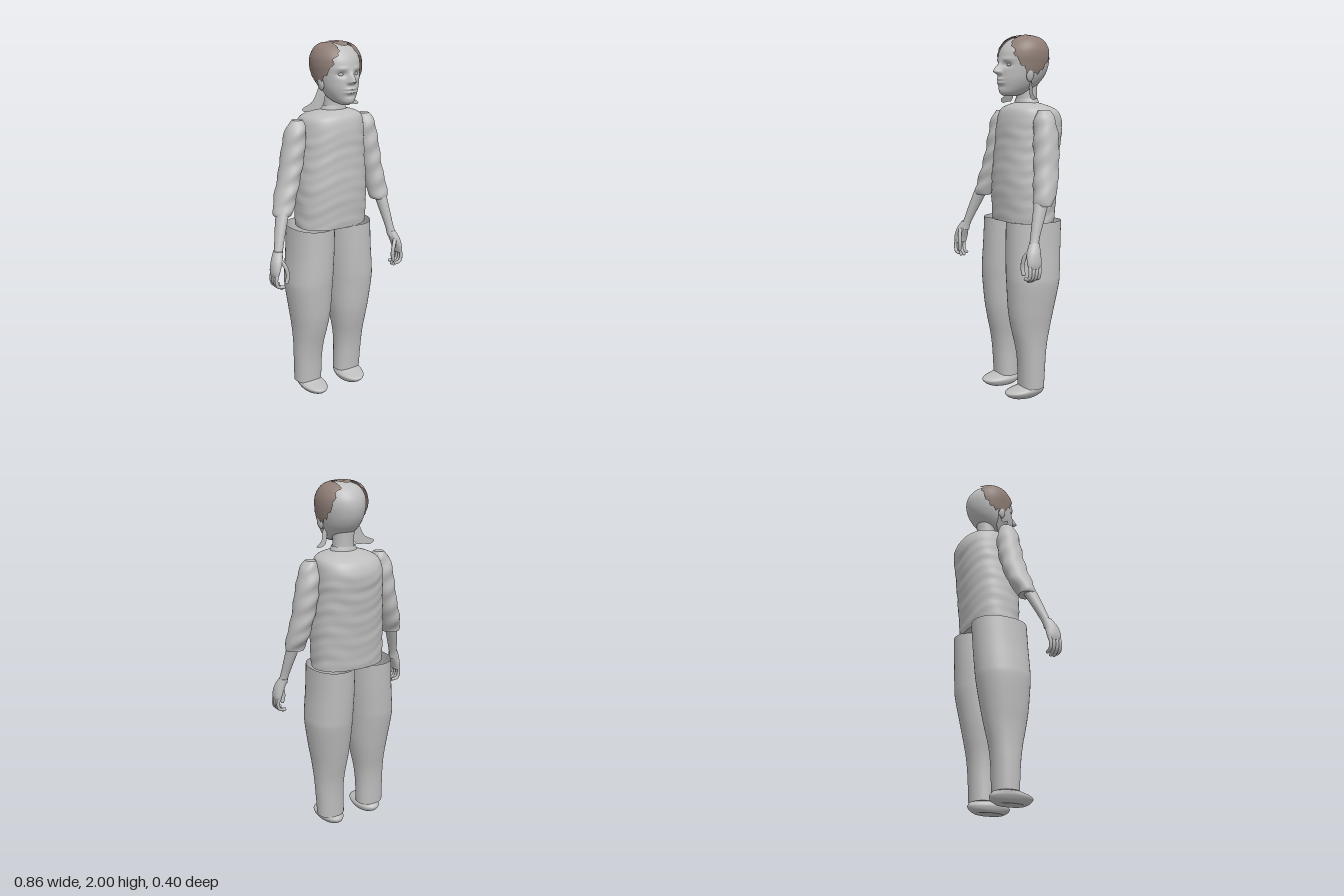
import * as THREE from 'three';

const grey = new THREE.MeshStandardMaterial({ color: 0xbebebe, side: THREE.DoubleSide });
grey.name = 'plain grey';
const brown = new THREE.MeshStandardMaterial({ color: 0x8f7e76, side: THREE.DoubleSide });
brown.name = 'hair brown';

const HEAD_X = 0.07;
const bell = (v, w) => Math.exp(-(v * v) / (w * w));

// Smooth interpolation through the cross-section table
function sample(rings, t) {
  const f = t * (rings.length - 1), i = Math.min(Math.floor(f), rings.length - 2), u = f - i;
  const at = k => rings[Math.max(0, Math.min(rings.length - 1, k))];
  const [a, b, c, d] = [at(i - 1), at(i), at(i + 1), at(i + 2)];
  return b.map((_, k) => b[k] + 0.5 * u * (c[k] - a[k] + u * (2 * a[k] - 5 * b[k] + 4 * c[k] - d[k]
    + u * (3 * (b[k] - c[k]) + d[k] - a[k]))));
}

// Skin over horizontal cross-sections, bottom to top: [y, centreX, halfWidth, frontZ, backZ]
function loft(rings, { n = 40, rows = 40, power = 2, warp, keep, bottom = true, top = true } = {}) {
  const pos = [], index = [];
  const curve = v => Math.sign(v) * Math.pow(Math.abs(v), 2 / power);
  for (let i = 0; i <= rows; i++) {
    const [y, x, rx, zf, zb] = sample(rings, i / rows);
    for (let j = 0; j < n; j++) {
      const a = (j / n) * Math.PI * 2;
      const p = new THREE.Vector3(x + rx * curve(Math.cos(a)), y, (zf + zb) / 2 + (zf - zb) / 2 * curve(Math.sin(a)));
      if (warp) warp(p, a);
      pos.push(p.x, p.y, p.z);
    }
  }
  const face = (a, b, c) => {
    const mid = k => (pos[a * 3 + k] + pos[b * 3 + k] + pos[c * 3 + k]) / 3;
    if (!keep || keep(mid(0), mid(1), mid(2))) index.push(a, b, c);
  };
  for (let i = 0; i < rows; i++) for (let j = 0; j < n; j++) {
    const a = i * n + j, b = i * n + (j + 1) % n;
    face(a, a + n, b);
    face(b, a + n, b + n);
  }
  // Caps have their own vertices so the rim stays crisp
  const cap = (row, up) => {
    const start = pos.length / 3, r = sample(rings, row / rows);
    pos.push(...pos.slice(row * n * 3, (row + 1) * n * 3), r[1], r[0], (r[3] + r[4]) / 2);
    for (let j = 0; j < n; j++) {
      const a = start + j, b = start + (j + 1) % n;
      face(start + n, up ? b : a, up ? a : b);
    }
  };
  if (bottom) cap(0, false);
  if (top) cap(rows, true);
  const g = new THREE.BufferGeometry();
  g.setAttribute('position', new THREE.Float32BufferAttribute(pos, 3));
  g.setIndex(index);
  g.computeVertexNormals();
  return g;
}

export function createModel() {
  const model = new THREE.Group();
  const add = (name, geometry, material = grey) => {
    const m = new THREE.Mesh(geometry, material);
    m.name = name;
    model.add(m);
    return m;
  };

  // Shirt with soft creases
  add('shirt', loft([
    [0.995, 0.045, 0.21, 0.14, -0.15], [1.2, 0.05, 0.208, 0.148, -0.168], [1.4, 0.055, 0.195, 0.138, -0.19],
    [1.52, 0.06, 0.188, 0.13, -0.203], [1.585, 0.063, 0.178, 0.118, -0.182], [1.615, 0.067, 0.15, 0.1, -0.14],
    [1.632, 0.07, 0.105, 0.07, -0.095], [1.64, 0.07, 0.07, 0.05, -0.075],
  ], {
    n: 64, rows: 90, power: 2.35,
    warp: (p, a) => {
      const fade = 1 - THREE.MathUtils.smoothstep(p.y, 1.45, 1.6);
      const s = 1 + 0.014 * fade * Math.sin(p.y * 75 + 2 * Math.sin(a * 3) + a) * Math.sin(p.y * 23 + a * 2);
      p.x = 0.05 + (p.x - 0.05) * s;
      p.z *= s;
    },
  }));
  add('collar', loft([
    [1.61, HEAD_X, 0.085, 0.055, -0.085], [1.64, HEAD_X, 0.075, 0.05, -0.078], [1.662, HEAD_X, 0.066, 0.046, -0.073],
  ], { rows: 8, bottom: false, top: false }));
  add('neck', loft([
    [1.6, HEAD_X, 0.062, 0.045, -0.07], [1.68, HEAD_X, 0.058, 0.045, -0.07], [1.76, HEAD_X, 0.06, 0.05, -0.075],
  ], { rows: 10 }));

  // Trouser legs and shoes, the left set mirrored about the hips
  const legRings = [
    [0.058, -0.12, 0.081, 0.076, -0.06], [0.2, -0.12, 0.083, 0.085, -0.065], [0.3, -0.116, 0.088, 0.1, -0.075],
    [0.4, -0.11, 0.1, 0.123, -0.095], [0.5, -0.108, 0.114, 0.14, -0.115], [0.65, -0.11, 0.128, 0.152, -0.143],
    [0.72, -0.106, 0.129, 0.155, -0.15], [0.85, -0.095, 0.126, 0.153, -0.158], [1.0, -0.087, 0.123, 0.15, -0.165],
  ];
  const shoeRings = [
    [0, -0.108, 0.05, 0.125, -0.04], [0.015, -0.11, 0.064, 0.152, -0.066], [0.035, -0.113, 0.074, 0.166, -0.076],
    [0.048, -0.117, 0.072, 0.145, -0.07], [0.062, -0.12, 0.066, 0.09, -0.058], [0.085, -0.12, 0.055, 0.05, -0.045],
  ];
  for (const side of ['right', 'left']) {
    const place = rings => rings.map(([y, x, ...rest]) => [y, side === 'left' ? 0.033 + 0.035 * y - x : x, ...rest]);
    add(side + 'TrouserLeg', loft(place(legRings), { rows: 60, power: 2.2, top: false }));
    add(side + 'Shoe', loft(place(shoeRings), { rows: 24 }));
  }

  // Sleeves and forearms: [y, rightX, leftX, halfWidth, frontZ, backZ]
  const sleeve = [
    [1.105, -0.3, 0.345, 0.05, 0.1, 0.008], [1.13, -0.296, 0.34, 0.057, 0.105, -0.002], [1.2, -0.27, 0.33, 0.06, 0.098, -0.035],
    [1.3, -0.235, 0.31, 0.06, 0.085, -0.055], [1.4, -0.208, 0.295, 0.064, 0.075, -0.065], [1.5, -0.19, 0.28, 0.061, 0.066, -0.065],
    [1.56, -0.18, 0.272, 0.052, 0.055, -0.052], [1.6, -0.172, 0.266, 0.028, 0.034, -0.03],
  ];
  const forearm = [
    [0.89, -0.387, 0.383, 0.028, 0.165, 0.11], [0.94, -0.372, 0.373, 0.024, 0.15, 0.1],
    [1.05, -0.336, 0.356, 0.03, 0.125, 0.055], [1.15, -0.3, 0.34, 0.036, 0.1, 0.015],
  ];
  const finger = (points, r) => new THREE.TubeGeometry(
    new THREE.CatmullRomCurve3(points.map(p => new THREE.Vector3(...p))), 12, r, 8);
  ['right', 'left'].forEach((side, s) => {
    const pick = rings => rings.map(r => [r[0], r[1 + s], ...r.slice(3)]);
    const crease = (p, a) => { p.z += 0.004 * Math.sin(p.y * 60 + a * 2); };
    add(side + 'Sleeve', loft(pick(sleeve), { n: 32, rows: 48, warp: crease }));
    add(side + 'Forearm', loft(pick(forearm), { n: 24, rows: 20 }));

    // Hand: palm, four curled fingers and a thumb
    const dir = s ? 1 : -1, lift = s ? 0 : 0.02;
    const hx = x => dir * x;
    const palm = [[0.79, 0.412, 0.014, 0.185, 0.115], [0.82, 0.41, 0.021, 0.193, 0.108], [0.87, 0.396, 0.028, 0.185, 0.107],
      [0.92, 0.378, 0.024, 0.158, 0.102]].map(([y, x, ...rest]) => [y + lift, hx(x), ...rest]);
    add(side + 'Palm', loft(palm, { n: 20, rows: 14 }));
    for (let i = 0; i < 4; i++) {
      const z = 0.122 + i * 0.019, tip = 0.715 + Math.abs(i - 1.5) * 0.012 + lift;
      add(side + 'Finger', finger([[hx(0.412), 0.81 + lift, z], [hx(0.42), 0.77 + lift, z + 0.003],
        [hx(0.408), 0.738 + lift, z + 0.004], [hx(0.378), tip, z + 0.006]], 0.0095));
      const end = add(side + 'Fingertip', new THREE.SphereGeometry(0.0096, 8, 6));
      end.position.set(hx(0.378), tip, z + 0.006);
    }
    add(side + 'Thumb', finger([[hx(0.385), 0.88 + lift, 0.165], [hx(0.362), 0.84 + lift, 0.183],
      [hx(0.352), 0.79 + lift, 0.187], [hx(0.36), 0.757 + lift, 0.186]], 0.011));
    const tip = add(side + 'ThumbTip', new THREE.SphereGeometry(0.011, 8, 6));
    tip.position.set(hx(0.36), 0.757 + lift, 0.186);
  });

  // Head, with sockets, nose, lips and chin pressed into the front
  const headRings = [
    [1.675, HEAD_X, 0.025, 0.125, 0.06], [1.69, HEAD_X, 0.05, 0.15, 0.005], [1.72, HEAD_X, 0.076, 0.155, -0.05],
    [1.76, HEAD_X, 0.098, 0.158, -0.095], [1.8, HEAD_X, 0.111, 0.156, -0.122], [1.84, HEAD_X, 0.119, 0.153, -0.136],
    [1.88, HEAD_X, 0.124, 0.15, -0.14], [1.92, HEAD_X, 0.12, 0.137, -0.131], [1.96, HEAD_X, 0.099, 0.105, -0.104],
    [1.982, HEAD_X, 0.065, 0.068, -0.068], [1.992, HEAD_X, 0.02, 0.022, -0.02],
  ];
  const sculpt = p => {
    if (p.z < 0.06) return;
    const x = p.x - HEAD_X, ex = Math.abs(x) - 0.046, y = p.y;
    p.z += 0.04 * bell(x, 0.017) * bell(y - 1.805, y > 1.805 ? 0.036 : 0.013);
    p.z += 0.012 * bell(Math.abs(x) - 0.016, 0.009) * bell(y - 1.799, 0.01);
    p.z -= 0.015 * bell(ex, 0.024) * bell(y - 1.838, 0.014);
    p.z += 0.004 * bell(ex, 0.03) * bell(y - 1.868, 0.01);
    p.z += bell(x, 0.03) * (0.01 * bell(y - 1.763, 0.007) + 0.01 * bell(y - 1.745, 0.007) - 0.006 * bell(y - 1.725, 0.01));
  };
  add('head', loft(headRings, { n: 128, rows: 120, warp: sculpt }));
  for (const s of [-1, 1]) {
    const eye = add('eye', new THREE.SphereGeometry(0.015, 16, 12));
    eye.scale.set(1.15, 0.6, 0.6);
    eye.position.set(HEAD_X + s * 0.046, 1.838, 0.126);
    const ear = add('ear', new THREE.SphereGeometry(1, 16, 12));
    ear.scale.set(0.013, 0.036, 0.022);
    ear.position.set(HEAD_X + s * 0.113, 1.785, 0.035);
    ear.rotation.z = -s * 0.15;
  }

  // Hair: two ragged side pieces and an oval crown cut from a shell around the skull
  const hairRings = headRings.map(([y, x, rx, zf, zb]) => [y + (y - 1.7) * 0.028, x, rx + 0.015, zf + 0.005, zb - 0.004]);
  const isHair = (x, y, z) => {
    const dx = Math.abs(x - HEAD_X);
    const hem = 1.79 + 9 * (z - 0.015) ** 2 + 0.008 * Math.sin(z * 190);
    const part = z < 0.02 ? 0.058 : 0.046;
    const sides = dx > part && z > -0.09 + 0.006 * Math.sin(y * 120) && z < 0.117 + 0.004 * Math.sin(y * 160) && y > hem;
    const crown = y > 1.9 && (dx / 0.047) ** 2 + ((z - 0.015) / 0.077) ** 2 < 1;
    return sides || crown;
  };
  add('hair', loft(hairRings, { n: 160, rows: 140, keep: isHair, bottom: false }), brown);

  // Loose locks hanging beside the neck
  const lock = (name, points) => {
    const shape = new THREE.Shape();
    shape.moveTo(...points[0]);
    shape.splineThru(points.slice(1).map(p => new THREE.Vector2(...p)));
    add(name, new THREE.ShapeGeometry(shape, 6)).position.z = 0.02;
  };
  lock('rightLock', [[-0.03, 1.82], [-0.055, 1.75], [-0.09, 1.69], [-0.15, 1.66], [-0.13, 1.64], [-0.08, 1.645],
    [-0.035, 1.65], [-0.01, 1.69], [0, 1.76]]);
  lock('leftLock', [[0.16, 1.78], [0.18, 1.73], [0.185, 1.69], [0.215, 1.66], [0.19, 1.655], [0.16, 1.67], [0.15, 1.72]]);

  return model;
}
